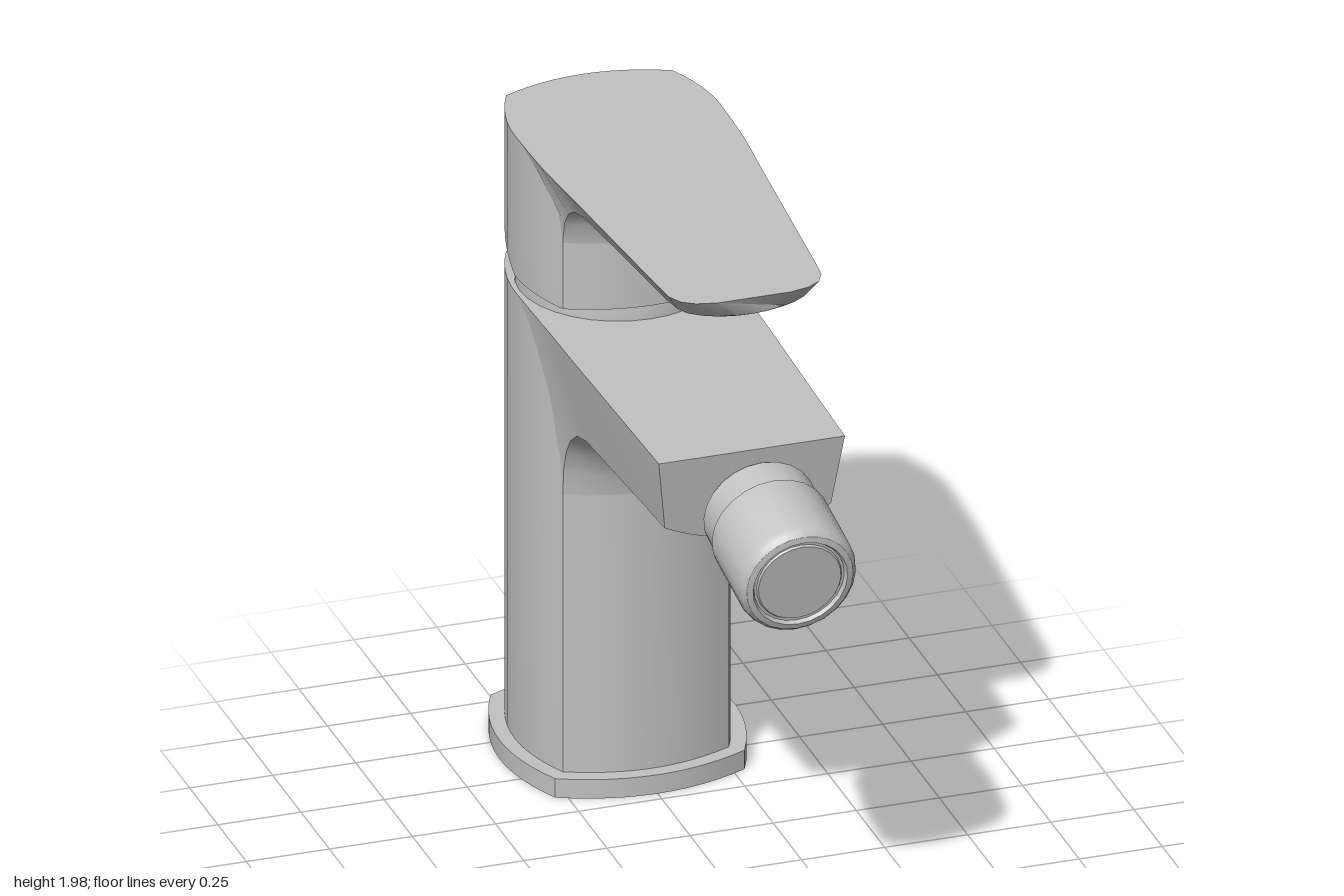
import * as THREE from 'three';
import { toCreasedNormals } from 'three/addons/utils/BufferGeometryUtils.js';

const CENTRE_Z = -0.64; // axis of the upright body
const TILT = THREE.MathUtils.degToRad(10);

// Square with four bulging sides: corners at +-c, side middles at +-b
function bulgedSquare(c, b) {
  const s = new THREE.Shape();
  const k = 2 * b - c;
  s.moveTo(-c, -c);
  s.quadraticCurveTo(0, -k, c, -c);
  s.quadraticCurveTo(k, 0, c, c);
  s.quadraticCurveTo(0, k, -c, c);
  s.quadraticCurveTo(-k, 0, -c, -c);
  return s;
}

// Upright prism from y0 to y1
function prism(shape, y0, y1) {
  const g = new THREE.ExtrudeGeometry(shape, { depth: y1 - y0, bevelEnabled: false, curveSegments: 12 });
  g.rotateX(-Math.PI / 2);
  g.translate(0, y0, CENTRE_Z);
  return g;
}

// Arm reaching forward: flat top, bowed underside.
// Station: [underside z, y,  lower corner z, y, half width,  top edge z, half width]
function arm(stations, topY) {
  const steps = 12;
  const rings = stations.map(([pz, py, cz, cy, cw, tz, tw]) => {
    const ring = [[-tw, topY, tz]];
    for (let i = 0; i <= steps; i++) {
      const u = (2 * i) / steps - 1;
      const k = 1 - u * u;
      ring.push([cw * u, cy + k * (py - cy), cz + k * (pz - cz)]);
    }
    ring.push([tw, topY, tz]);
    return ring;
  });
  const n = rings[0].length;
  const pos = [];
  const tri = (a, b, c) => pos.push(...a, ...b, ...c);
  for (let i = 0; i < rings.length - 1; i++) {
    for (let j = 0; j < n; j++) {
      const m = (j + 1) % n;
      tri(rings[i][j], rings[i][m], rings[i + 1][m]);
      tri(rings[i][j], rings[i + 1][m], rings[i + 1][j]);
    }
  }
  const end = rings[rings.length - 1];
  for (let j = 1; j < n - 1; j++) tri(end[0], end[j], end[j + 1]);
  const g = new THREE.BufferGeometry();
  g.setAttribute('position', new THREE.Float32BufferAttribute(pos, 3));
  return g;
}

function lathe(points, segments) {
  return new THREE.LatheGeometry(points.map(([r, y]) => new THREE.Vector2(r, y)), segments);
}

export function createModel() {
  const model = new THREE.Group();
  model.name = 'basinTap';
  const metal = new THREE.MeshStandardMaterial({ color: 0xc2c2c2 });
  metal.name = 'brushed grey metal';

  const add = (name, geometry, parent = model) => {
    const mesh = new THREE.Mesh(toCreasedNormals(geometry, 0.5), metal);
    mesh.name = name;
    parent.add(mesh);
    return mesh;
  };

  // Base plate with the supply hole underneath
  const plate = bulgedSquare(0.285, 0.355);
  plate.holes.push(new THREE.Path().absarc(0, 0, 0.18, 0, Math.PI * 2, true));
  add('basePlate', prism(plate, 0, 0.06));

  // Upright body
  add('body', prism(bulgedSquare(0.25, 0.31), 0.06, 1.48));

  // Spout, its underside sweeping out of the body front
  add('spout', arm([
    [-0.33, 0.94, -0.39, 0.94, 0.25, -0.64, 0.31],
    [-0.32, 1.0, -0.382, 1.02, 0.25, -0.58, 0.309],
    [-0.295, 1.055, -0.36, 1.09, 0.25, -0.5, 0.307],
    [-0.25, 1.1, -0.32, 1.145, 0.25, -0.42, 0.305],
    [-0.2, 1.13, -0.265, 1.185, 0.25, -0.33, 0.302],
    [-0.13, 1.145, -0.18, 1.207, 0.25, -0.2, 0.3],
    [0.5, 1.19, 0.51, 1.255, 0.25, 0.545, 0.28],
  ], 1.48));

  // Domed collar between body and handle
  const collar = add('collar', lathe([
    [0.295, 1.47], [0.295, 1.53], [0.283, 1.58], [0.26, 1.64], [0.22, 1.7], [0, 1.74],
  ], 32));
  collar.position.z = CENTRE_Z;

  // Handle: head with its back lower edge cut upwards, and the lever
  const handle = new THREE.Group();
  handle.name = 'handle';
  model.add(handle);
  const head = prism(bulgedSquare(0.25, 0.31), 1.53, 1.975);
  const p = head.attributes.position;
  for (let i = 0; i < p.count; i++) {
    if (p.getY(i) < 1.6) p.setY(i, 1.53 + Math.max(0, (CENTRE_Z - p.getZ(i)) / 0.31) * 0.13);
  }
  add('handleHead', head, handle);
  add('lever', arm([
    [-0.33, 1.74, -0.39, 1.74, 0.25, -0.64, 0.31],
    [-0.322, 1.79, -0.375, 1.81, 0.25, -0.52, 0.308],
    [-0.3, 1.835, -0.34, 1.855, 0.25, -0.42, 0.305],
    [-0.26, 1.86, -0.29, 1.885, 0.25, -0.32, 0.297],
    [-0.2, 1.87, -0.22, 1.9, 0.245, -0.22, 0.288],
    [0.4, 1.895, 0.4, 1.92, 0.205, 0.4, 0.238],
    [0.47, 1.898, 0.46, 1.92, 0.195, 0.485, 0.23],
    [0.505, 1.9, 0.495, 1.918, 0.175, 0.528, 0.208],
    [0.525, 1.902, 0.515, 1.915, 0.14, 0.553, 0.17],
    [0.54, 1.91, 0.532, 1.918, 0.1, 0.567, 0.11],
  ], 1.975), handle);

  // Tilted outlet nozzle: swivel neck and grooved aerator
  const nozzle = new THREE.Group();
  nozzle.name = 'nozzle';
  nozzle.position.set(0, 1.322, 0.597);
  nozzle.rotation.x = Math.PI / 2 + TILT;
  model.add(nozzle);
  const neck = add('swivelNeck', new THREE.CylinderGeometry(0.07, 0.07, 0.22, 20), nozzle);
  neck.position.y = -0.05;
  add('aeratorCollar', lathe([
    [0, 0.05], [0.12, 0.05], [0.14, 0], [0.158, 0], [0.168, 0.015], [0.168, 0.11], [0.155, 0.115], [0.155, 0.14],
  ], 24), nozzle);
  add('aeratorCap', lathe([
    [0.15, 0.118], [0.178, 0.118], [0.178, 0.345], [0.172, 0.365], [0.16, 0.378], [0.142, 0.382],
    [0.136, 0.37], [0.128, 0.37], [0.124, 0.376], [0, 0.376],
  ], 24), nozzle);

  return model;
}
